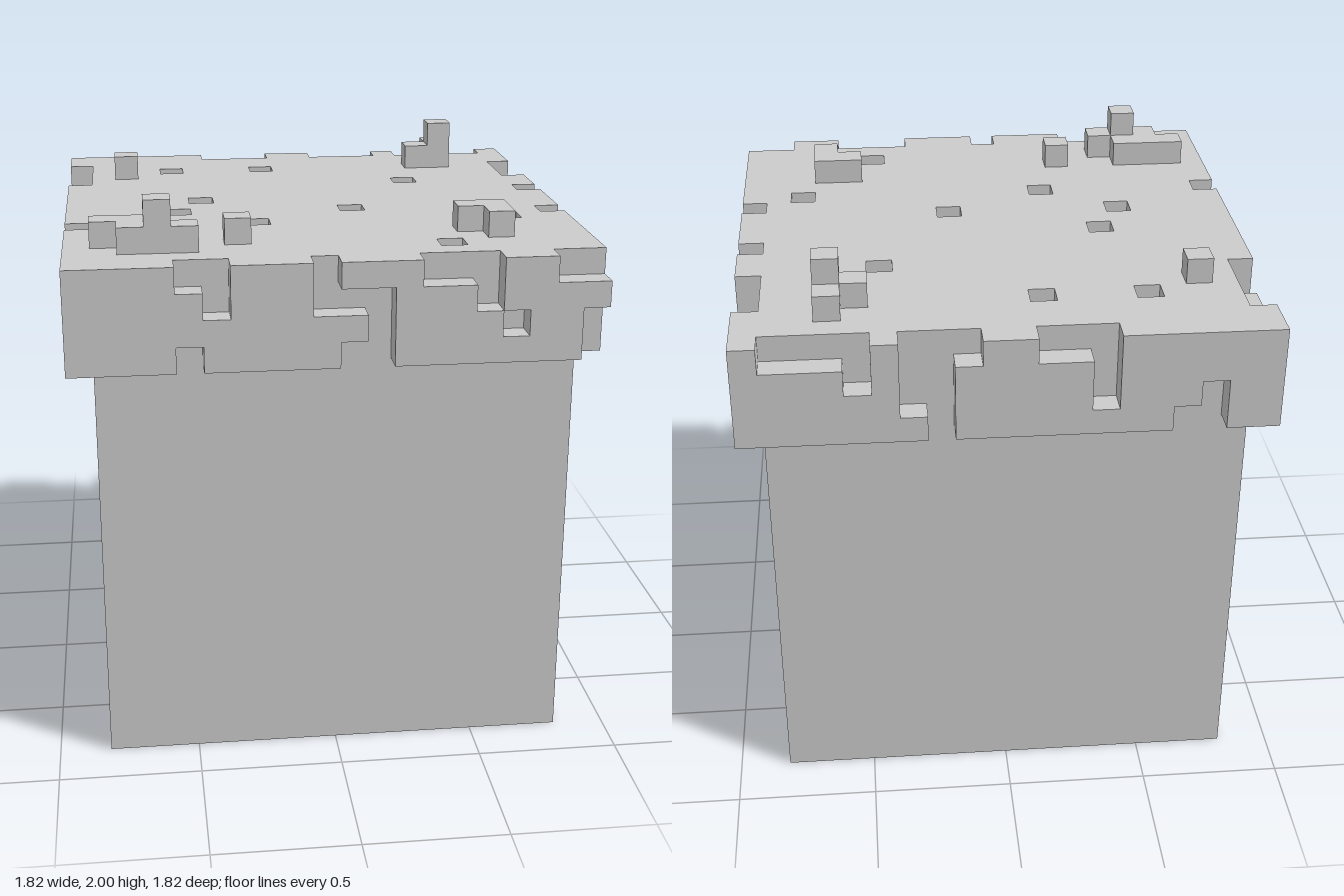
import * as THREE from 'three';

const U = 1 / 11; // one voxel
const MIN = -10, MAX = 9, RIM_TOP = 19;

// Rim panels, top row first; '#' is filled. Columns run along +x (front, back) or +z (right, left).
const RIM = {
  front: ['####..###.###...##..', '#####.###...###.####', '###########.####.##.', '####.#####..#######.'],
  back: ['######...##...#....#', '######.#####..#.####', '##.###.#####..######', '##..########.#######'],
  right: ['###...##.###.######.', '####..#..#..##.#####', '#####.#.#...#######.', '#########...####.##.'],
  left: ['##....#######.######', '#####.##.###########', '##.#..######.#######', '####..##########.###'],
};

// One-voxel pits in the top, as [x, z]
const PITS = [[-6, -7], [-2, -7], [4, -4], [-5, -1], [-6, 1], [1, 1], [-3, 3], [7, 3], [4, 7]];

// Raised lumps, as [x, y, z]
const LUMPS = {
  backLump: [[6, 20, -8], [5, 20, -7], [6, 20, -7], [6, 21, -7]],
  backSingleLump: [[-8, 20, -6]],
  frontSingleLump: [[-4, 20, 6]],
  frontLeftLump: [[5, 20, 5], [6, 20, 5], [6, 20, 6]],
  frontRightLump: [[-9, 20, 6], [-8, 20, 6], [-7, 20, 6], [-8, 20, 7], [-7, 20, 7], [-6, 20, 7], [-7, 21, 7]],
};

const key = (x, y, z) => `${x},${y},${z}`;
const inCore = (x, y, z) => x > MIN && x < MAX && z > MIN && z < MAX && y >= 0 && y < RIM_TOP;

// Skin around a list of voxels: only faces without a neighbour are made
function voxelSkin(cells, occupied) {
  const pos = [], nor = [], idx = [];
  for (const cell of cells) {
    for (let axis = 0; axis < 3; axis++) {
      for (const sign of [-1, 1]) {
        const n = [0, 0, 0];
        n[axis] = sign;
        const next = cell.map((c, i) => c + n[i]);
        if (occupied.has(key(...next)) || inCore(...next)) continue;
        const u = (axis + 1) % 3, v = (axis + 2) % 3, base = pos.length / 3;
        for (const [a, b] of [[0, 0], [1, 0], [1, 1], [0, 1]]) {
          const p = [...cell];
          if (sign > 0) p[axis] += 1;
          p[u] += a;
          p[v] += b;
          pos.push(...p.map((c) => c * U));
          nor.push(...n);
        }
        const order = sign > 0 ? [0, 1, 2, 0, 2, 3] : [0, 2, 1, 0, 3, 2];
        idx.push(...order.map((i) => base + i));
      }
    }
  }
  const geo = new THREE.BufferGeometry();
  geo.setAttribute('position', new THREE.Float32BufferAttribute(pos, 3));
  geo.setAttribute('normal', new THREE.Float32BufferAttribute(nor, 3));
  geo.setIndex(idx);
  return geo;
}

export function createModel() {
  const group = new THREE.Group();
  const material = new THREE.MeshStandardMaterial({ color: 0xcccccc, flatShading: true });
  const add = (name, geo) => {
    const mesh = new THREE.Mesh(geo, material);
    mesh.name = name;
    group.add(mesh);
    return mesh;
  };

  // Solid block under the cap
  add('body', new THREE.BoxGeometry(18 * U, RIM_TOP * U, 18 * U)).position.y = RIM_TOP * U / 2;

  // Ragged rim and pitted top layer
  const rim = [], top = [];
  const pits = new Set(PITS.map(String));
  for (let x = MIN; x <= MAX; x++) {
    for (let z = MIN; z <= MAX; z++) {
      const walls = [];
      if (z === MAX) walls.push([RIM.front, x]);
      if (z === MIN) walls.push([RIM.back, x]);
      if (x === MAX) walls.push([RIM.right, z]);
      if (x === MIN) walls.push([RIM.left, z]);
      if (walls.length === 0) {
        if (!pits.has(String([x, z]))) top.push([x, RIM_TOP, z]);
        continue;
      }
      for (let row = 0; row < 4; row++) {
        if (walls.every(([rows, i]) => rows[row][i - MIN] === '#')) rim.push([x, RIM_TOP - row, z]);
      }
    }
  }

  const parts = { capRim: rim, capTop: top, ...LUMPS };
  const occupied = new Set(Object.values(parts).flat().map((c) => key(...c)));
  for (const [name, cells] of Object.entries(parts)) add(name, voxelSkin(cells, occupied));
  return group;
}
